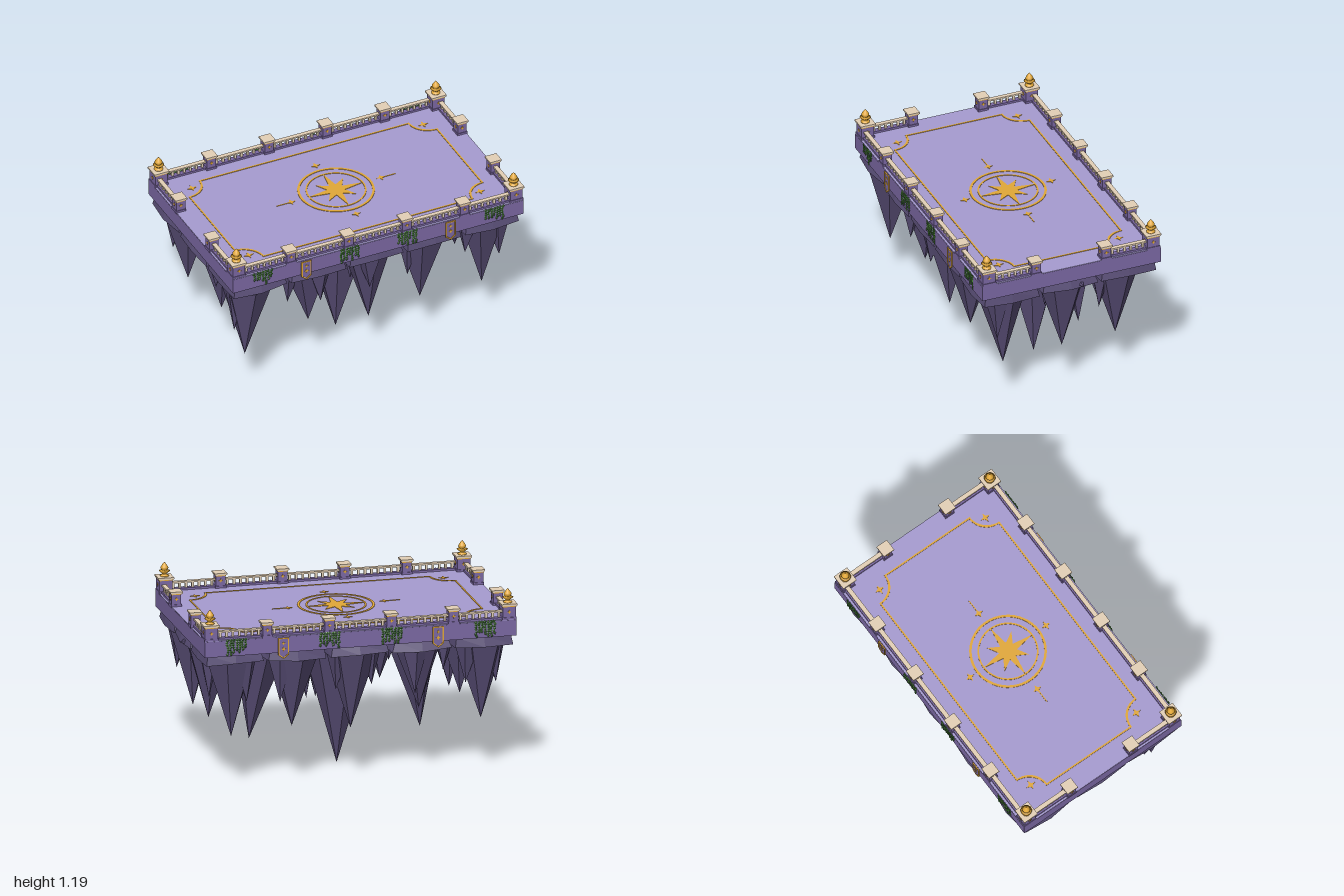
import * as THREE from 'three';
import { mergeGeometries } from 'three/addons/utils/BufferGeometryUtils.js';

const mat = (name, color) => Object.assign(new THREE.MeshStandardMaterial({ color }), { name });
const rock = mat('rock', 0x594e76);
const slabPurple = mat('slab purple', 0x7b68a3);
const deckLilac = mat('deck lilac', 0xa69bd0);
const stone = mat('pale stone', 0xe4d0b6);
const gold = mat('gold', 0xe2a838);
const leafDark = mat('dark leaf', 0x427c38);
const leafLight = mat('light leaf', 0x589444);

let seed = 7;
const rnd = () => (seed = (seed * 16807) % 2147483647) / 2147483647;
const jit = (a) => (rnd() * 2 - 1) * a;

function add(parent, name, geo, material, x = 0, y = 0, z = 0, ry = 0) {
  const m = new THREE.Mesh(geo, material);
  m.name = name;
  m.position.set(x, y, z);
  m.rotation.y = ry;
  parent.add(m);
  return m;
}
const box = (p, name, w, h, d, m, x, y, z) => add(p, name, new THREE.BoxGeometry(w, h, d), m, x, y + h / 2, z);

// Faceted skin through rings listed from top to bottom, closed underneath
function loft(rings) {
  const v = [], n = rings[0].length;
  for (let r = 0; r + 1 < rings.length; r++) for (let k = 0; k < n; k++) {
    const l = (k + 1) % n, T = rings[r], B = rings[r + 1];
    v.push(...T[k], ...T[l], ...B[k], ...B[k], ...T[l], ...B[l]);
  }
  const last = rings[rings.length - 1];
  for (let k = 1; k + 1 < n; k++) v.push(...last[0], ...last[k], ...last[k + 1]);
  const g = new THREE.BufferGeometry();
  g.setAttribute('position', new THREE.Float32BufferAttribute(v, 3));
  g.computeVertexNormals();
  return g;
}

// Hanging rock spike: jagged ring at the top, one point at the bottom
function spike(x, z, r, tip, n = 6) {
  const turn = rnd() * 6.28, ring = [], end = [];
  for (let k = 0; k < n; k++) {
    const a = turn + (k / n) * Math.PI * 2, q = r * (1 + jit(0.08));
    ring.push([x + Math.cos(a) * q, 0.86, z + Math.sin(a) * q]);
    end.push(tip);
  }
  return loft([ring, end]);
}

// Broken slab of rock between the platform and its spikes
function chunk(x, z) {
  const ring = (y, s) => Array.from({ length: 8 }, (_, k) => {
    const a = (k / 8) * Math.PI * 2;
    const q = s * (k % 2 ? 1.3 : 1) * (1 + jit(0.025));
    return [x + Math.cos(a) * q, y + (y < 0.88 ? jit(0.008) : 0), z + Math.sin(a) * q];
  });
  return loft([ring(0.905, 0.184), ring(0.843, 0.2)]);
}

// Thin plate in the XY plane, or laid flat on the floor
function plate(shape, depth = 0.004, flat = false) {
  const g = new THREE.ExtrudeGeometry(shape, { depth, bevelEnabled: false, curveSegments: 24 });
  return flat ? g.rotateX(-Math.PI / 2) : g;
}
function star(points, long, short, inner) {
  const pts = [];
  for (let i = 0; i < points * 2; i++) {
    const a = (i / points) * Math.PI, r = i % 2 ? inner : i % 4 ? short : long;
    pts.push(new THREE.Vector2(Math.cos(a) * r, Math.sin(a) * r));
  }
  return new THREE.Shape(pts);
}
function ringShape(r, w) {
  const s = new THREE.Shape().absarc(0, 0, r, 0, Math.PI * 2, false);
  s.holes.push(new THREE.Path().absarc(0, 0, r - w, 0, Math.PI * 2, true));
  return s;
}
// Rectangle outline with scooped corners
function scooped(Type, w, h, r) {
  const s = new Type().moveTo(w, -h + r);
  [[w, h], [-w, h], [-w, -h], [w, -h]].forEach(([x, y], i) => {
    const a = (i - 1) * Math.PI / 2;
    s.absarc(x, y, r, a, a - Math.PI / 2, true);
  });
  return s.closePath();
}
function pennant(Type, w, top, side, tip) {
  return new Type([[-w, top], [-w, side], [0, tip], [w, side], [w, top]].map((p) => new THREE.Vector2(...p)));
}

function post(parent, x, z, corner) {
  const g = new THREE.Group();
  g.name = corner ? 'cornerPost' : 'railPost';
  g.position.set(x, 1.0, z);
  const w = corner ? 0.082 : 0.06, h = corner ? 0.085 : 0.081;
  box(g, 'postBase', w + 0.008, 0.018, w + 0.008, slabPurple, 0, 0, 0);
  box(g, 'postBody', w, h, w, slabPurple, 0, 0, 0);
  box(g, 'postGoldBand', w + 0.005, 0.006, w + 0.005, gold, 0, h - 0.001, 0);
  box(g, 'postCap', w + 0.012, 0.006, w + 0.012, stone, 0, h + 0.005, 0);
  box(g, 'postCapTop', w + 0.018, 0.01, w + 0.018, stone, 0, h + 0.009, 0);
  for (let q = 0; q < 4; q++) {
    const a = q * Math.PI / 2, d = w / 2 - 0.001;
    add(g, 'postStar', plate(star(4, 0.013, 0.013, 0.006)), gold, Math.sin(a) * d, 0.052, Math.cos(a) * d, a);
  }
  if (corner) {
    const pts = [[0, 0], [0.027, 0], [0.027, 0.007], [0.015, 0.012], [0.014, 0.02], [0.035, 0.036], [0.02, 0.04],
      [0.018, 0.044], [0.025, 0.053], [0.022, 0.062], [0.012, 0.078], [0, 0.092]];
    add(g, 'finial', new THREE.LatheGeometry(pts.map((p) => new THREE.Vector2(...p)), 14), gold, 0, h + 0.017, 0);
  }
  parent.add(g);
}

// Balustrade section of a given length along local x
function rail(parent, x, z, len, ry) {
  const g = new THREE.Group();
  g.name = 'balustrade';
  g.position.set(x, 1.0, z);
  g.rotation.y = ry;
  box(g, 'railPlinth', len, 0.018, 0.034, slabPurple, 0, 0, 0);
  box(g, 'handRail', len, 0.01, 0.028, stone, 0, 0.05, 0);
  const n = Math.round(len / 0.04);
  const parts = [];
  for (let i = 0; i < n; i++) {
    parts.push(new THREE.BoxGeometry(0.014, 0.036, 0.014).translate(((i + 0.5) / n - 0.5) * len, 0.033, 0));
  }
  add(g, 'balusters', mergeGeometries(parts), stone);
  parent.add(g);
}

// Ivy hanging over the slab edge
function vine(parent, cx) {
  const sets = [[], []];
  for (let s = 0; s < 7; s++) {
    const x = cx + (s / 6 - 0.5) * 0.115, len = 0.045 + rnd() * 0.055;
    for (let d = -0.004; d < len; d += 0.015) {
      const taper = 1 - 0.35 * (d / len);
      const leaf = new THREE.OctahedronGeometry(1).scale(0.012 * taper, 0.012, 0.005).rotateZ(jit(0.5));
      sets[rnd() < 0.5 ? 0 : 1].push(leaf.translate(x + jit(0.004), 1.0 - d, 0.598 + rnd() * 0.003));
    }
  }
  add(parent, 'vineLeavesDark', mergeGeometries(sets[0]), leafDark);
  add(parent, 'vineLeavesLight', mergeGeometries(sets[1]), leafLight);
}

export function createModel() {
  const model = new THREE.Group();
  model.name = 'floatingTerrace';
  const top = new THREE.Group();
  top.name = 'terrace';
  top.position.x = -0.0115;
  model.add(top);

  // Platform
  box(top, 'slab', 1.975, 0.1, 1.19, slabPurple, 0, 0.902, 0);
  box(top, 'deck', 1.972, 0.003, 1.187, deckLilac, 0, 1.002, 0);

  // Gold floor inlay
  const inlay = (name, shape, x = 0, z = 0) => add(top, name, plate(shape, 0.003, true), gold, x, 1.005, z);
  const border = scooped(THREE.Shape, 0.846, 0.454, 0.13);
  border.holes.push(scooped(THREE.Path, 0.836, 0.444, 0.13));
  inlay('floorBorder', border);
  inlay('compassOuterRing', ringShape(0.238, 0.015));
  inlay('compassInnerRing', ringShape(0.187, 0.01));
  inlay('compassStar', star(8, 0.186, 0.13, 0.056));
  for (let q = 0; q < 4; q++) {
    const a = q * Math.PI / 2, r = q % 2 ? 0.287 : 0.305;
    inlay('compassPoint', star(4, 0.029, 0.029, 0.012), Math.cos(a) * r, Math.sin(a) * r);
    if (q % 2 === 0) box(top, 'compassLine', 0.12, 0.003, 0.006, gold, Math.cos(a) * 0.345, 1.005, 0);
  }
  for (const sx of [-1, 1]) for (const sz of [-1, 1]) {
    inlay('cornerStar', star(4, 0.031, 0.031, 0.012), sx * 0.787, sz * 0.4);
    post(top, sx * 0.943, sz * 0.547, true);
    post(top, sx * 0.957, sz * 0.233, false);
    rail(top, sx * 0.957, sz * 0.385, 0.245, Math.PI / 2);
  }

  // Front and back edges: rails, banners and ivy
  for (const ry of [0, Math.PI]) {
    const side = new THREE.Group();
    side.name = ry ? 'backEdge' : 'frontEdge';
    side.rotation.y = ry;
    top.add(side);
    for (const x of [-0.59, -0.197, 0.197, 0.59]) post(side, x, 0.562, false);
    for (const x of [-0.394, 0, 0.394]) rail(side, x, 0.562, 0.335, 0);
    for (const s of [-1, 1]) {
      rail(side, s * 0.761, 0.562, 0.285, 0);
      const trim = pennant(THREE.Shape, 0.034, 0.995, 0.888, 0.862);
      trim.holes.push(pennant(THREE.Path, 0.027, 0.989, 0.893, 0.871));
      add(side, 'bannerTrim', plate(trim, 0.007), gold, s * 0.49, 0, 0.595);
      add(side, 'bannerCloth', plate(pennant(THREE.Shape, 0.028, 0.99, 0.892, 0.87), 0.004), slabPurple, s * 0.49, 0, 0.595);
      for (const [y, r] of [[0.962, 0.012], [0.925, 0.015]]) {
        add(side, 'bannerStar', plate(star(4, r, r, r * 0.5), 0.003), gold, s * 0.49, y, 0.599);
      }
    }
    for (const x of [-0.787, -0.197, 0.197, 0.787]) vine(side, x);
  }

  // Rock underside: one chunk with a cluster of spikes per cell; tips are [x, y, z]
  const tips = [
    [[-0.82, 0.34, -0.41], [-0.43, 0.43, -0.4], [0, 0.33, -0.39], [0.38, 0.38, -0.42], [0.755, 0.33, -0.385]],
    [[-0.8, 0.38, 0.02], [-0.535, 0.2, -0.03], [-0.015, 0, 0], [0.525, 0.175, 0.06], [0.8, 0.35, -0.01]],
    [[-0.84, 0.305, 0.43], [-0.39, 0.4, 0.39], [0.015, 0.31, 0.4], [0.36, 0.36, 0.41], [0.795, 0.32, 0.38]],
  ];
  tips.forEach((row, j) => row.forEach((tip, i) => {
    const x = (i - 2) * 0.394 - 0.0115, z = (j - 1) * 0.39;
    add(model, 'rockChunk', chunk(x, z), rock);
    const big = tip[1] < 0.1, wide = tip[1] < 0.25;
    const mx = x + (tip[0] - x) * 0.5, mz = z + (tip[2] - z) * 0.5;
    add(model, 'rockSpike', spike(mx, mz, big ? 0.26 : wide ? 0.2 : 0.165, tip, big ? 7 : 6), rock);
    // Lesser spikes lean outward around the main one
    const a0 = rnd() * 6.28;
    for (let k = 0; k < (big ? 3 : 2); k++) {
      const a = a0 + k * 2.3 + jit(0.3), c = Math.cos(a), s = Math.sin(a);
      const low = 0.5 + rnd() * 0.12;
      add(model, 'smallRockSpike', spike(x + c * 0.1, z + s * 0.1, 0.088, [x + c * 0.12, low, z + s * 0.12], 5), rock);
    }
  }));
  // Spur of rock jutting out on the left side
  add(model, 'rockSpur', new THREE.ConeGeometry(0.04, 0.08, 5).rotateZ(-Math.PI / 2).toNonIndexed(), rock, 0.96, 0.86, -0.07)
    .geometry.computeVertexNormals();
  return model;
}
